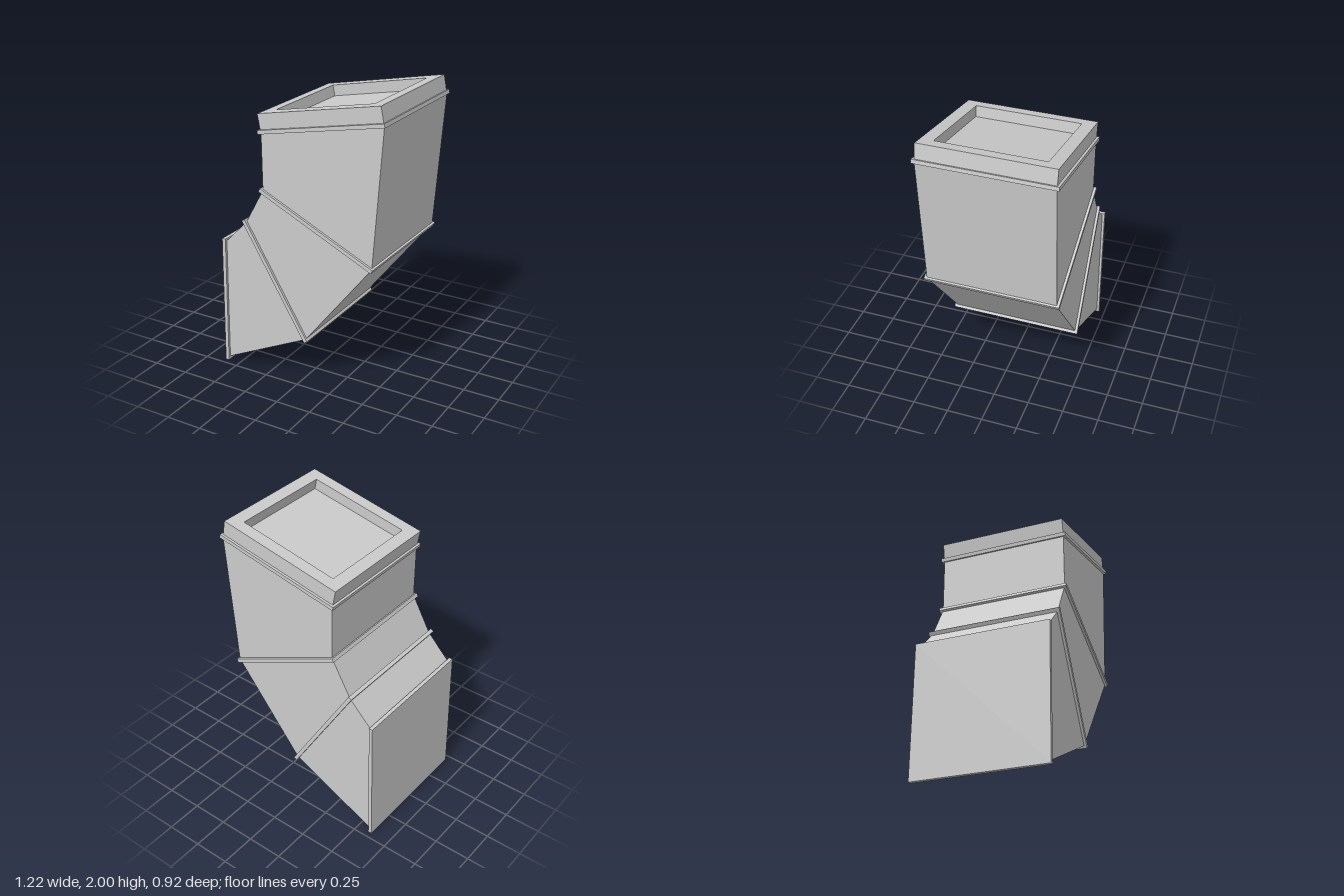
import * as THREE from 'three';

const material = new THREE.MeshStandardMaterial({ color: 0xcccccc, flatShading: true });

// Prism with an xy outline, centred on z = 0
function prism(name, points, depth) {
  const shape = new THREE.Shape(points.map(([x, y]) => new THREE.Vector2(x, y)));
  const geometry = new THREE.ExtrudeGeometry(shape, { depth, bevelEnabled: false });
  geometry.translate(0, 0, -depth / 2);
  const mesh = new THREE.Mesh(geometry, material);
  mesh.name = name;
  return mesh;
}

// Thin rectangular plate seen edge-on between two points
function flange(name, [x0, y0], [x1, y1], thickness = 0.026) {
  const length = Math.hypot(x1 - x0, y1 - y0);
  const mesh = new THREE.Mesh(new THREE.BoxGeometry(length, thickness, 0.92), material);
  mesh.position.set((x0 + x1) / 2, (y0 + y1) / 2, 0);
  mesh.rotation.z = Math.atan2(y1 - y0, x1 - x0);
  mesh.name = name;
  return mesh;
}

function square(Type, half) {
  const path = new Type();
  path.moveTo(-half, -half);
  path.lineTo(half, -half);
  path.lineTo(half, half);
  path.lineTo(-half, half);
  path.closePath();
  return path;
}

// Square mouth: a frame around a shallow recess
function createCollar() {
  const collar = new THREE.Group();
  collar.name = 'collar';
  const height = 0.11;
  const shape = square(THREE.Shape, 0.443);
  shape.holes.push(square(THREE.Path, 0.357));
  const geometry = new THREE.ExtrudeGeometry(shape, { depth: height, bevelEnabled: false });
  geometry.rotateX(-Math.PI / 2);
  geometry.translate(0, -height, 0);
  const frame = new THREE.Mesh(geometry, material);
  frame.name = 'collarFrame';
  const floor = new THREE.Mesh(new THREE.BoxGeometry(0.73, 0.035, 0.73), material);
  floor.position.y = -height + 0.0175;
  floor.name = 'recessFloor';
  collar.add(frame, floor);
  collar.position.set(0.135, 1.915, 0);
  collar.rotation.z = Math.atan2(0.17, 0.87);
  return collar;
}

export function createModel() {
  const group = new THREE.Group();
  group.name = 'ductElbow';

  // Duct segments, from the side opening up to the mouth
  const segments = [
    ['lowerSegment', [[-0.595, 0.02], [0.037, 0.325], [-0.412, 1.075], [-0.585, 0.9]]],
    ['middleSegment', [[0.037, 0.325], [0.525, 0.945], [-0.275, 1.32], [-0.412, 1.075]]],
    ['upperSegment', [[0.525, 0.945], [0.595, 1.885], [-0.275, 1.715], [-0.272, 1.32]]],
  ];
  for (const [name, points] of segments) group.add(prism(name, points, 0.885));

  // Flanges at the ends and joints
  group.add(
    flange('endFlange', [-0.601, 0], [-0.588, 0.926]),
    flange('lowerJointFlange', [0.046, 0.312], [-0.425, 1.094]),
    flange('upperJointFlange', [0.533, 0.938], [-0.291, 1.328]),
    flange('mouthFlange', [0.604, 1.889], [-0.292, 1.713]),
    createCollar(),
  );
  return group;
}
